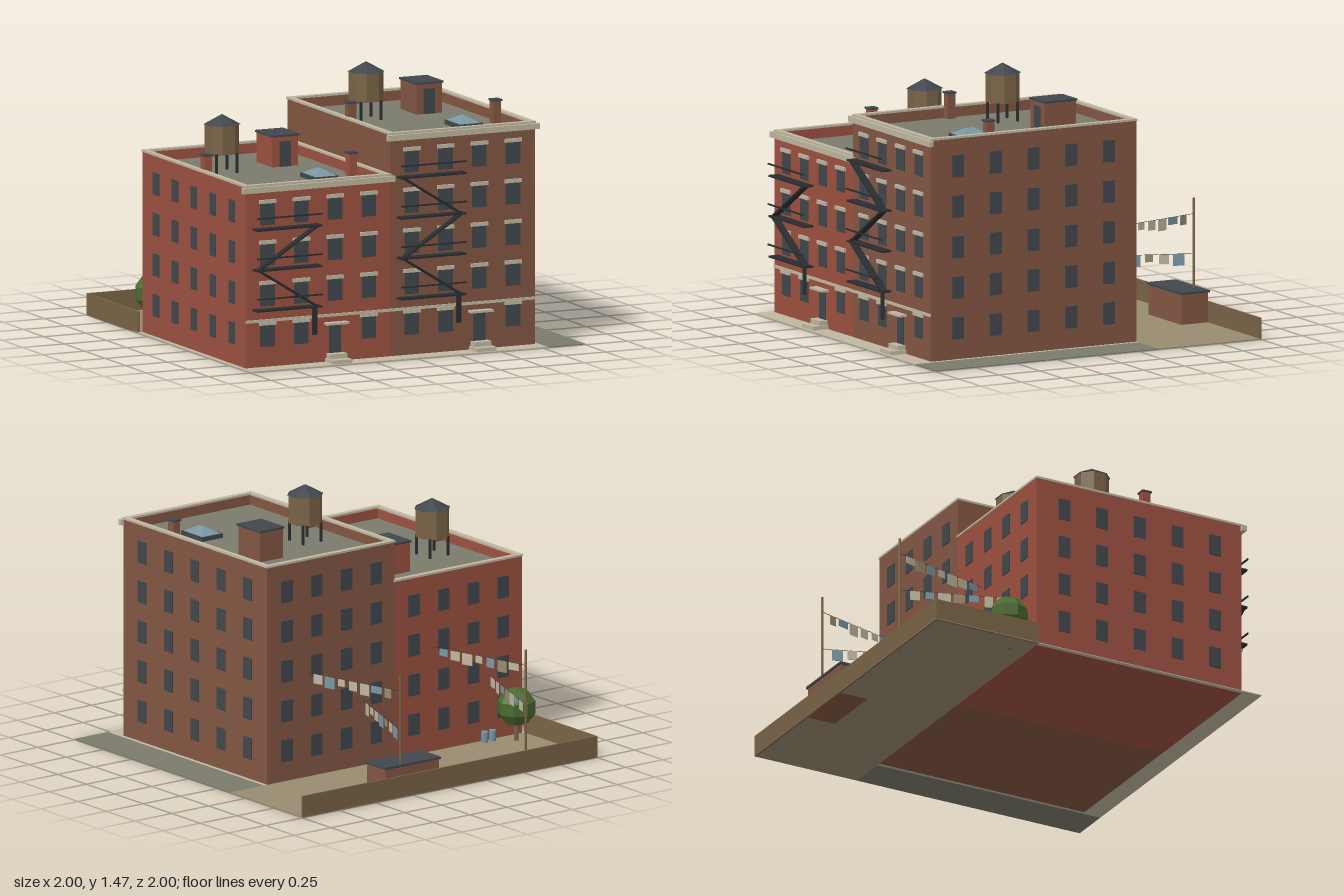
import * as THREE from 'three';

const mat = (name, color, extra = {}) => {
  const m = new THREE.MeshStandardMaterial({ color, ...extra });
  m.name = name;
  return m;
};

export function createModel() {
  const M = {
    red: mat('red brick', 0x9c5140),
    brown: mat('brown brick', 0x835642),
    stone: mat('pale stone', 0xbfb7a1),
    slate: mat('dark slate', 0x41474d),
    tar: mat('roof tar', 0x7a7a6c),
    dirt: mat('yard dirt', 0x988b71),
    wood: mat('weathered wood', 0x7a6346),
    iron: mat('black iron', 0x2a2d30),
    glass: mat('blue grey', 0x7896a2),
    leaf: mat('leaf green', 0x4b6a2e),
  };
  Object.values(M).forEach((m) => { m.flatShading = true; });
  const model = new THREE.Group();
  model.name = 'tenementBlock';

  const add = (parent, name, geo, m, x = 0, y = 0, z = 0) => {
    const mesh = new THREE.Mesh(geo, m);
    mesh.name = name;
    mesh.position.set(x, y, z);
    parent.add(mesh);
    return mesh;
  };
  // box given by its min and max on each axis
  const box = (parent, name, m, x0, x1, y0, y1, z0, z1) =>
    add(parent, name, new THREE.BoxGeometry(x1 - x0, y1 - y0, z1 - z0), m,
      (x0 + x1) / 2, (y0 + y1) / 2, (z0 + z1) / 2);
  const group = (parent, name, x = 0, y = 0, z = 0) => {
    const g = new THREE.Group();
    g.name = name;
    g.position.set(x, y, z);
    parent.add(g);
    return g;
  };
  // rectangular frame lying flat, w by d outside, with a border t wide
  const ring = (w, d, t, h) => {
    const rect = (s, a, b) => s.moveTo(-a, -b).lineTo(a, -b).lineTo(a, b).lineTo(-a, b).closePath();
    const s = rect(new THREE.Shape(), w / 2, d / 2);
    s.holes.push(rect(new THREE.Path(), w / 2 - t, d / 2 - t));
    return new THREE.ExtrudeGeometry(s, { depth: h, bevelEnabled: false }).rotateX(-Math.PI / 2);
  };

  const FRONT = 0.89, BACK = -0.37, MIDZ = 0.26, DEPTH = 1.26, STOREY = 0.221;

  function waterTank(parent, x, y, z) {
    const g = group(parent, 'waterTank', x, y, z);
    for (const sx of [-0.06, 0.06]) for (const sz of [-0.06, 0.06])
      box(g, 'tankLeg', M.iron, sx - 0.006, sx + 0.006, 0, 0.112, sz - 0.006, sz + 0.006);
    add(g, 'tankBarrel', new THREE.CylinderGeometry(0.093, 0.093, 0.155, 8).rotateY(Math.PI / 8), M.wood, 0, 0.1875, 0);
    add(g, 'tankRoof', new THREE.ConeGeometry(0.1, 0.055, 8).rotateY(Math.PI / 8), M.slate, 0, 0.2925, 0);
  }

  function chimney(parent, m, x, y, z, h) {
    const g = group(parent, 'chimney', x, y, z);
    box(g, 'chimneyStack', m, -0.023, 0.023, 0, h - 0.01, -0.023, 0.023);
    box(g, 'chimneyCap', M.slate, -0.028, 0.028, h - 0.01, h, -0.028, 0.028);
  }

  function skylight(parent, x, y, z) {
    const g = group(parent, 'skylight', x, y, z);
    box(g, 'skylightFrame', M.slate, -0.07, 0.07, 0, 0.028, -0.092, 0.092);
    // hipped glass: a box whose top is pinched into a short ridge
    const geo = new THREE.BoxGeometry(0.124, 0.034, 0.168);
    const p = geo.attributes.position;
    for (let i = 0; i < p.count; i++)
      if (p.getY(i) > 0) p.setXYZ(i, p.getX(i) * 0.02, p.getY(i), p.getZ(i) * 0.25);
    geo.computeVertexNormals();
    add(g, 'skylightGlass', geo, M.glass, 0, 0.045, 0);
  }

  function fireEscape(parent, x, levels) {
    const g = group(parent, 'fireEscape', x, 0, 0);
    for (let i = 0; i < levels; i++) {
      const y = 0.32 + i * 0.22;
      box(g, 'platform', M.iron, -0.195, 0.195, y - 0.005, y + 0.005, FRONT, 0.95);
      box(g, 'railing', M.iron, -0.195, 0.195, y + 0.062, y + 0.07, 0.948, 0.956);
      if (i === levels - 1) continue;
      const s = i % 2 ? 1 : -1;
      const stair = add(g, 'stairFlight', new THREE.BoxGeometry(Math.hypot(0.35, 0.22), 0.01, 0.04), M.iron, 0, y + 0.11, 0.925);
      stair.rotation.z = s * Math.atan2(0.22, 0.35);
    }
    box(g, 'dropLadder', M.iron, 0.147, 0.175, 0.165, 0.32, 0.922, 0.932);
  }

  function building(name, brick, x0, x1, floors, top, tankX) {
    const g = group(model, name);
    const cx = (x0 + x1) / 2, w = x1 - x0, roof = top - 0.07;
    box(g, 'walls', brick, x0, x1, 0, roof, BACK, FRONT);
    box(g, 'roofDeck', M.tar, x0 + 0.02, x1 - 0.02, roof, roof + 0.004, BACK + 0.02, FRONT - 0.02);
    add(g, 'parapet', ring(w, DEPTH, 0.022, 0.06), brick, cx, roof, MIDZ);
    add(g, 'coping', ring(w + 0.01, DEPTH + 0.008, 0.031, 0.011), M.stone, cx, top - 0.011, MIDZ);
    box(g, 'cornice', M.stone, x0 - 0.022, x1 + 0.02, top - 0.042, top - 0.011, FRONT - 0.005, 0.91);
    box(g, 'beltCourse', M.stone, x0, x1, 0.25, 0.265, FRONT, 0.898);

    // front and rear windows; the third ground floor bay in front is the door
    for (let f = 0; f < floors; f++) {
      const y = 0.115 + f * STOREY;
      for (let c = 0; c < 4; c++) {
        const x = tankX - 0.112 + c * 0.2015;
        box(g, 'rearWindow', M.slate, x - 0.038, x + 0.038, y, y + 0.12, BACK - 0.005, BACK);
        if (f === 0 && c === 2) continue;
        box(g, 'frontWindow', M.slate, x - 0.043, x + 0.043, y, y + 0.12, FRONT, FRONT + 0.005);
        box(g, 'lintel', M.stone, x - 0.05, x + 0.05, y + 0.118, y + 0.138, FRONT, FRONT + 0.012);
      }
      // windows along the exposed side wall
      for (let c = 0; c < 5; c++) {
        const z = -0.2 + c * 0.2315;
        const sx = brick === M.red ? x0 - 0.005 : x1;
        box(g, 'sideWindow', M.slate, sx, sx + 0.005, y, y + 0.12, z - 0.036, z + 0.036);
      }
    }

    // entrance
    const dx = tankX + 0.291;
    box(g, 'frontDoor', M.slate, dx - 0.035, dx + 0.035, 0.05, 0.21, FRONT, FRONT + 0.006);
    box(g, 'doorCanopy', M.stone, dx - 0.066, dx + 0.066, 0.209, 0.221, FRONT, 0.935);
    box(g, 'lowerStep', M.stone, dx - 0.059, dx + 0.059, 0.004, 0.026, FRONT, 0.985);
    box(g, 'upperStep', M.stone, dx - 0.05, dx + 0.05, 0.026, 0.052, FRONT, 0.94);

    // rooftop
    waterTank(g, tankX, roof, 0.105);
    chimney(g, brick, tankX - 0.197, roof, 0.32, 0.15);
    chimney(g, brick, tankX + 0.575, roof, 0.51, 0.135);
    skylight(g, tankX + 0.381, roof, 0.517);
    const hut = group(g, 'stairBulkhead', tankX + 0.38, roof, 0.004);
    box(hut, 'bulkheadWalls', brick, -0.077, 0.077, 0, 0.167, -0.096, 0.096);
    box(hut, 'bulkheadRoof', M.slate, -0.083, 0.083, 0.167, 0.178, -0.102, 0.102);
    box(hut, 'bulkheadDoor', M.slate, -0.033, 0.033, 0, 0.142, 0.096, 0.101);

    fireEscape(g, tankX - 0.008, floors - 1);
  }
  building('redTenement', M.red, -0.975, -0.11, 4, 1.0, -0.733);
  building('brownTenement', M.brown, -0.11, 0.752, 5, 1.221, 0.128);

  // ground
  box(model, 'sidewalk', M.stone, -1, 0.775, 0.001, 0.006, BACK, 1);
  box(model, 'sideLot', M.tar, 0.775, 1, 0.001, 0.006, BACK, 1);
  box(model, 'backYard', M.dirt, -1, 1, 0.001, 0.006, -1, BACK);
  box(model, 'backFence', M.wood, -1, 1, 0, 0.12, -1, -0.99);
  box(model, 'sideFence', M.wood, -1, -0.99, 0, 0.12, -0.99, BACK);

  // shed
  box(model, 'shedWalls', M.brown, 0.066, 0.428, 0, 0.17, -0.99, -0.826);
  box(model, 'shedRoof', M.slate, 0.058, 0.436, 0.17, 0.182, -0.998, -0.818);

  // washing lines: a pole with two lines running to the rear wall
  const cloth = [M.stone, M.stone, M.glass, M.stone, M.dirt, M.glass, M.stone];
  function washingLine(pole, px, dx, y, seed) {
    const g = group(pole, 'washingLine', px, y, -0.967);
    const len = Math.hypot(dx, 0.597);
    g.rotation.y = Math.atan2(dx, 0.597);
    box(g, 'line', M.iron, -0.001, 0.001, -0.001, 0.001, 0, len);
    for (let i = 0; i < 7; i++) {
      const z = len * (0.13 + i * 0.127), w = 0.022 + ((i * 3 + seed) % 4) * 0.004;
      const h = 0.04 + ((i * 5 + seed) % 3) * 0.012;
      box(g, 'laundry', cloth[(i + seed) % 7], -0.002, 0.002, -h, 0, z - w, z + w);
    }
  }
  [-0.54, 0.312].forEach((px, k) => {
    const pole = group(model, 'washingPole');
    add(pole, 'pole', new THREE.CylinderGeometry(0.007, 0.007, 0.67, 6), M.wood, px, 0.335, -0.967);
    washingLine(pole, px, -0.21, 0.365, k + 1);
    washingLine(pole, px, 0.163, 0.583, k + 3);
  });

  // tree and bins
  add(model, 'treeTrunk', new THREE.CylinderGeometry(0.01, 0.013, 0.14, 6), M.wood, -0.857, 0.07, -0.472);
  add(model, 'treeCrown', new THREE.SphereGeometry(0.108, 8, 5), M.leaf, -0.857, 0.195, -0.475);
  for (const x of [-0.749, -0.695])
    add(model, 'bin', new THREE.CylinderGeometry(0.02, 0.018, 0.062, 8), M.glass, x, 0.036, -0.404);

  return model;
}
